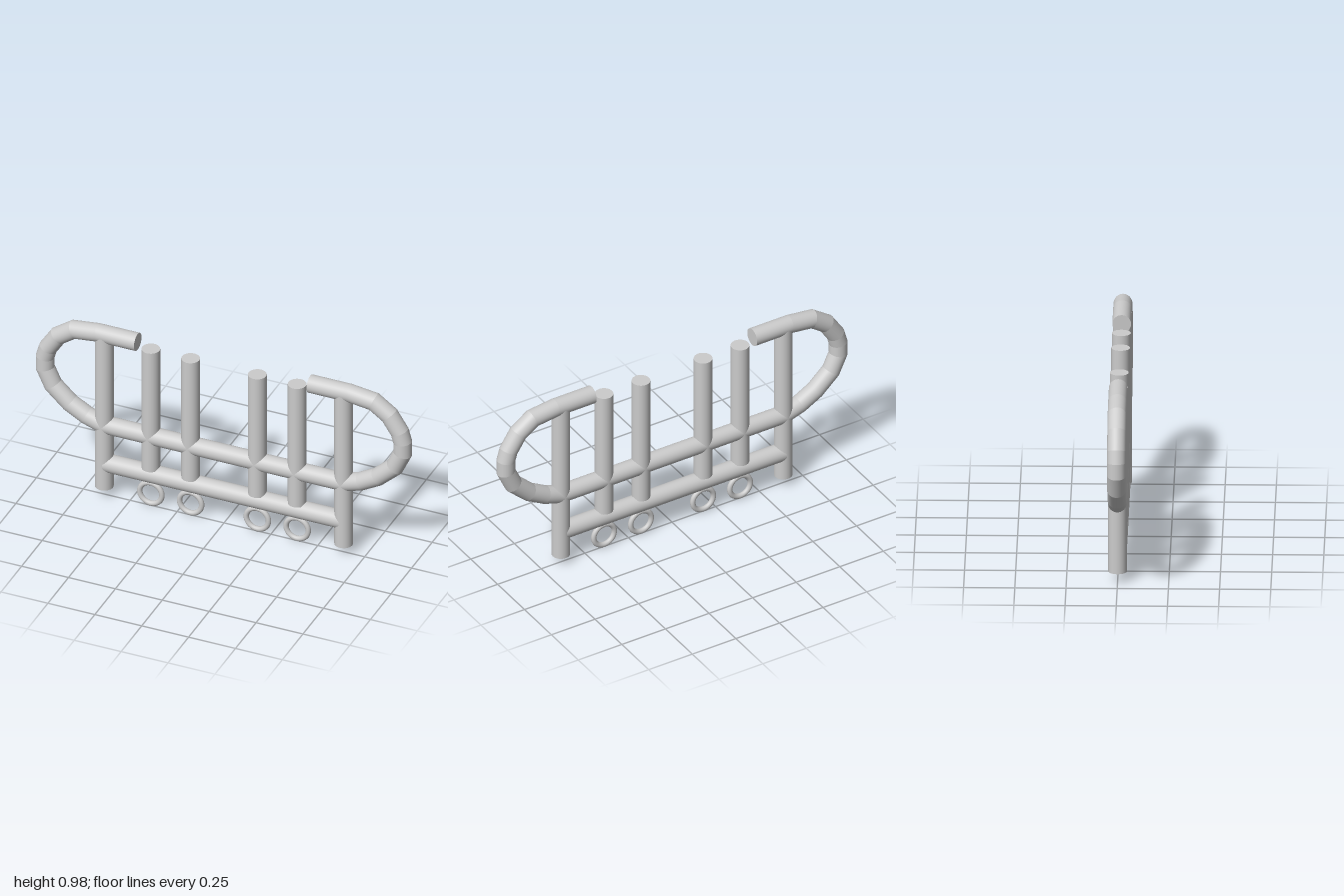
import * as THREE from 'three';

const R = 0.046; // pipe radius
const SIDES = 32;
const material = new THREE.MeshStandardMaterial({ color: 0xcccccc, side: THREE.DoubleSide });

function add(parent, geometry, name) {
  const mesh = new THREE.Mesh(geometry, material);
  mesh.name = name;
  parent.add(mesh);
  return mesh;
}

// Upright pipe between two heights
function post(parent, name, x, y0, y1) {
  add(parent, new THREE.CylinderGeometry(R, R, y1 - y0, SIDES), name).position.set(x, (y0 + y1) / 2, 0);
}

// Horizontal pipe centred on x = 0
function rail(parent, name, y, length, radius) {
  const mesh = add(parent, new THREE.CylinderGeometry(radius, radius, length, SIDES), name);
  mesh.rotation.z = Math.PI / 2;
  mesh.position.y = y;
}

// Round pipe along straight segments in the xy plane, mitred and creased at each bend
function mitredPipe(points, radius) {
  const dirs = points.slice(1).map((p, i) => p.clone().sub(points[i]).normalize());
  const perp = (d) => new THREE.Vector2(-d.y, d.x);
  const mitres = points.map((p, i) => {
    const a = perp(dirs[Math.max(i - 1, 0)]);
    const b = perp(dirs[Math.min(i, dirs.length - 1)]);
    const m = a.clone().add(b).normalize();
    return m.divideScalar(m.dot(a));
  });
  const position = [], normal = [], index = [];
  dirs.forEach((d, s) => {
    const n = perp(d);
    const base = position.length / 3;
    for (const k of [s, s + 1]) {
      for (let j = 0; j <= SIDES; j++) {
        const t = (j / SIDES) * Math.PI * 2, c = Math.cos(t), z = Math.sin(t);
        position.push(points[k].x + radius * c * mitres[k].x, points[k].y + radius * c * mitres[k].y, radius * z);
        normal.push(n.x * c, n.y * c, z);
      }
    }
    for (let j = 0; j < SIDES; j++) {
      const a = base + j, b = a + SIDES + 1;
      index.push(a, b, a + 1, b, b + 1, a + 1);
    }
  });
  const geometry = new THREE.BufferGeometry();
  geometry.setAttribute('position', new THREE.Float32BufferAttribute(position, 3));
  geometry.setAttribute('normal', new THREE.Float32BufferAttribute(normal, 3));
  geometry.setIndex(index);
  return geometry;
}

export function createModel() {
  const model = new THREE.Group();
  model.name = 'pipeGuard';

  // Cross rails
  rail(model, 'upperRail', 0.408, 1.28, R);
  rail(model, 'lowerRail', 0.187, 1.26, R + 0.001);

  // Curved side bar, from its free top end round to the upper rail
  const path = [
    [0.46, 0.936], [0.67, 0.936], [0.8, 0.92], [0.883, 0.862], [0.937, 0.78], [0.953, 0.725],
    [0.953, 0.66], [0.911, 0.57], [0.82, 0.487], [0.73, 0.437], [0.64, 0.408],
  ].map(([x, y]) => new THREE.Vector2(x, y));
  const barGeometry = mitredPipe(path, R);
  const ringGeometry = new THREE.TorusGeometry(0.059, 0.0135, 14, 36);

  // The two halves are the same, turned half round about the upright axis
  for (const side of ['left', 'right']) {
    const half = new THREE.Group();
    half.name = side + 'Half';
    half.rotation.y = side === 'left' ? 0 : Math.PI;
    model.add(half);

    add(half, barGeometry, 'sideBar');
    const cap = add(half, new THREE.CircleGeometry(R, SIDES), 'sideBarCap');
    cap.rotation.y = -Math.PI / 2;
    cap.position.set(0.46, 0.936, 0);

    post(half, 'outerPost', 0.638, 0.05, 0.93);
    for (const x of [0.178, 0.39]) {
      post(half, 'innerPost', x, 0.222, 0.915);
      add(half, ringGeometry, 'ring').position.set(x, 0.0725, 0);
    }
  }
  return model;
}
